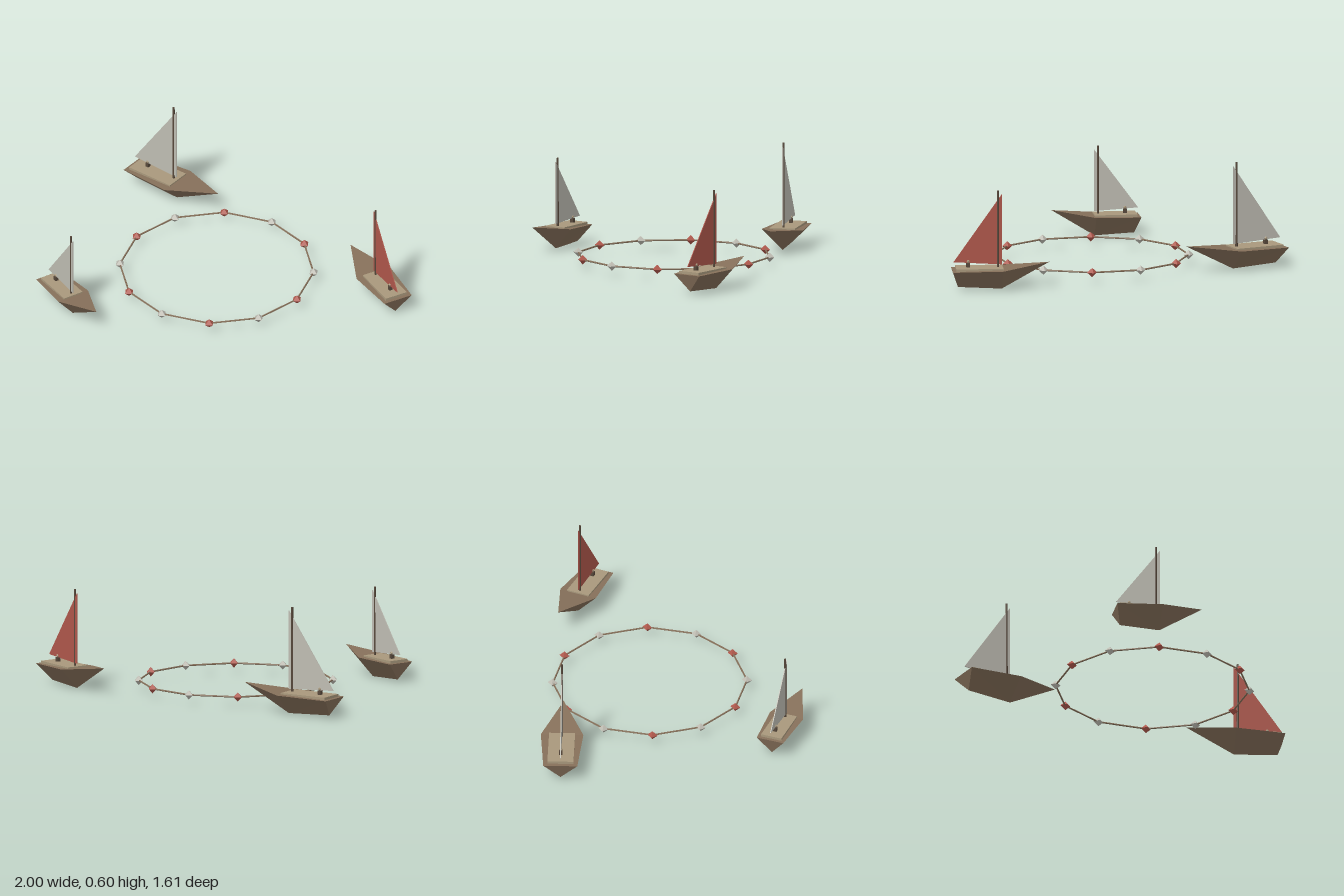
import * as THREE from 'three';

const mat = (name, color, opts = {}) => {
  const m = new THREE.MeshStandardMaterial({ color, flatShading: true, ...opts });
  m.name = name;
  return m;
};

export function createModel() {
  const wood = mat('hullWood', 0x86705a);
  const plank = mat('deckPlank', 0xa8987c);
  const dark = mat('darkWood', 0x57483b);
  const white = mat('paleCloth', 0xbebcb2, { side: THREE.DoubleSide });
  const red = mat('redCloth', 0xaf574b, { side: THREE.DoubleSide });

  const model = new THREE.Group();
  model.name = 'regatta';
  const add = (parent, name, geo, material, x = 0, y = 0, z = 0) => {
    const mesh = new THREE.Mesh(geo, material);
    mesh.name = name;
    mesh.position.set(x, y, z);
    parent.add(mesh);
    return mesh;
  };

  // V-shaped hull: raked transom, widest amidships, pointed raised bow
  function hullGeometry(L) {
    const SL = [0, 0.108, -0.16 * L], SR = [0, 0.108, 0.16 * L];
    const ML = [0.515 * L, 0.115, -0.2 * L], MR = [0.515 * L, 0.115, 0.2 * L];
    const B = [L, 0.148, 0], KS = [0.06 * L, 0.012, 0], KM = [0.51 * L, 0, 0];
    const faces = [
      SL, SR, MR, SL, MR, ML, ML, MR, B, // deck
      SR, KS, KM, SR, KM, MR, MR, KM, B, // starboard
      SL, KM, KS, SL, ML, KM, ML, B, KM, // port
      SL, KS, SR, // transom
    ];
    const geo = new THREE.BufferGeometry();
    geo.setAttribute('position', new THREE.Float32BufferAttribute(faces.flat(), 3));
    geo.computeVertexNormals();
    return geo;
  }

  // Boat: stern and bow points on the ground plane, mast top and sail colour
  function boat(name, [sx, sz], [bx, bz], mastTop, sailMat) {
    const g = new THREE.Group();
    g.name = name;
    const L = Math.hypot(bx - sx, bz - sz);
    g.position.set(sx, 0, sz);
    g.rotation.y = Math.atan2(sz - bz, bx - sx);
    model.add(g);

    add(g, 'hull', hullGeometry(L), wood);
    add(g, 'cockpitDeck', new THREE.BoxGeometry(0.485 * L, 0.024, 0.245 * L), plank, 0.28 * L, 0.111, 0);

    const mastX = 0.472 * L;
    const mastH = mastTop - 0.11;
    add(g, 'mast', new THREE.CylinderGeometry(0.006, 0.007, mastH, 6), dark, mastX, 0.11 + mastH / 2, 0);

    // Triangular mainsail
    const sail = new THREE.Shape([
      new THREE.Vector2(mastX + 0.022, 0.137),
      new THREE.Vector2(mastX + 0.022, mastTop - 0.02),
      new THREE.Vector2(0.008, 0.152),
    ]);
    const sailGeo = new THREE.ExtrudeGeometry(sail, { depth: 0.005, bevelEnabled: false });
    add(g, 'mainsail', sailGeo, sailMat, 0, 0, -0.0025);

    // Helmsman at the stern
    add(g, 'helmsmanBody', new THREE.BoxGeometry(0.02, 0.025, 0.02), dark, 0.165 * L, 0.134, 0);
    add(g, 'helmsmanHead', new THREE.IcosahedronGeometry(0.01, 0), plank, 0.165 * L, 0.155, 0);
  }

  boat('largeBoat', [-0.98, -0.402], [-0.402, -0.52], 0.598, white);
  boat('smallBoat', [-0.46, 0.668], [0.028, 0.735], 0.505, white);
  boat('redSailBoat', [0.98, -0.65], [0.45, -0.757], 0.553, red);

  // Ring of alternating buoys joined by rope
  const ring = new THREE.Group();
  ring.name = 'buoyRing';
  ring.position.set(0.037, 0.055, -0.135);
  model.add(ring);
  const R = 0.538, N = 12, step = (2 * Math.PI) / N;
  const buoyGeo = new THREE.OctahedronGeometry(0.029);
  buoyGeo.scale(1, 0.9, 1);
  const ropeGeo = new THREE.CylinderGeometry(0.005, 0.005, 2 * R * Math.sin(step / 2), 5);
  ropeGeo.rotateX(Math.PI / 2);
  for (let i = 0; i < N; i++) {
    const a = (i + 0.5) * step, b = i * step, r = R * Math.cos(step / 2);
    add(ring, 'buoy', buoyGeo, i % 2 ? red : white, R * Math.cos(a), 0, R * Math.sin(a));
    add(ring, 'rope', ropeGeo, wood, r * Math.cos(b), 0, r * Math.sin(b)).rotation.y = -b;
  }
  return model;
}
